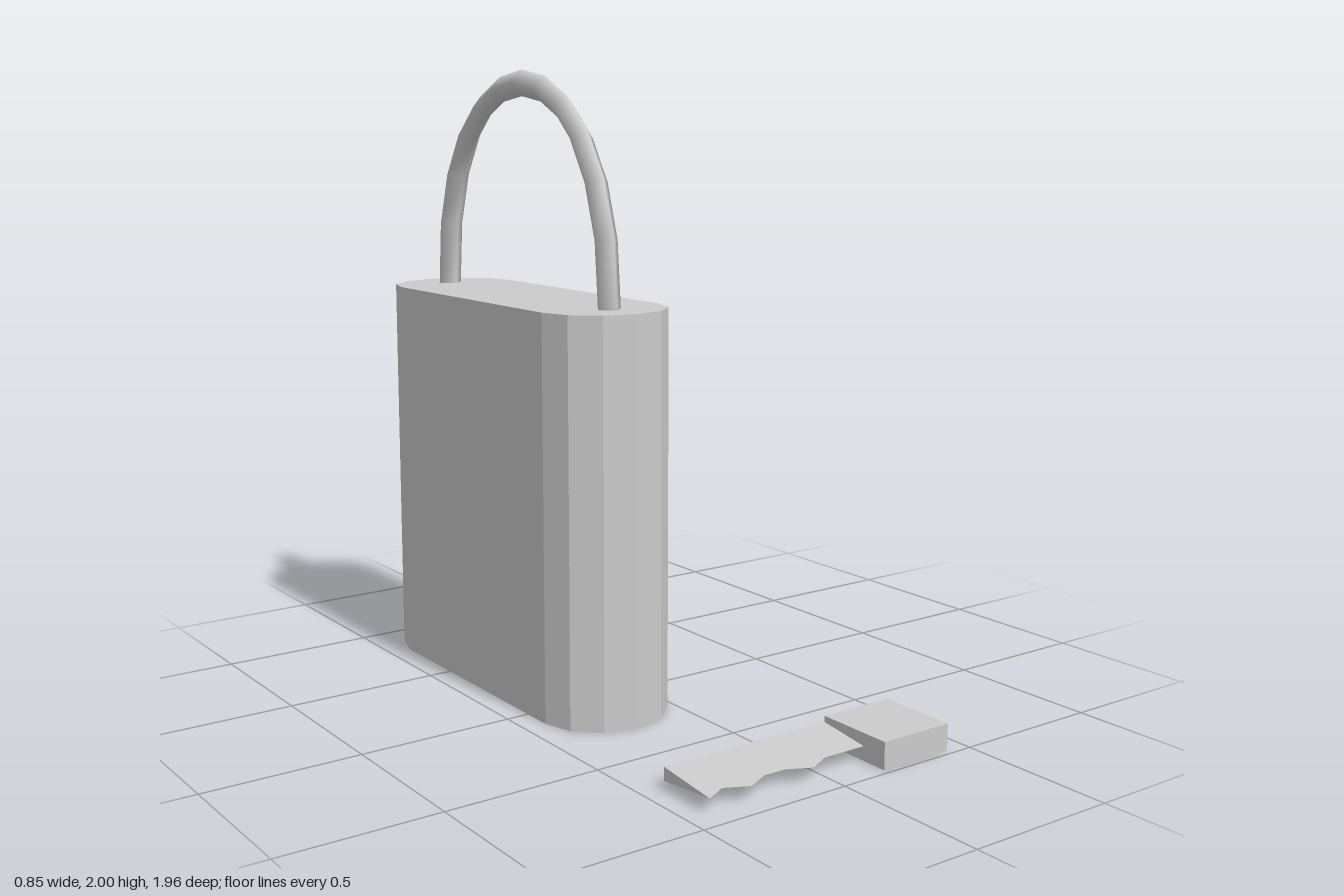
import * as THREE from 'three';

const material = new THREE.MeshStandardMaterial({ color: 0xcccccc, flatShading: true });
const smoothMaterial = new THREE.MeshStandardMaterial({ color: 0xcccccc, side: THREE.DoubleSide });

const BODY_X = -0.213, BODY_Z = -0.341, BODY_TOP = 1.28;

function addMesh(parent, name, geometry, mat = material) {
  const mesh = new THREE.Mesh(geometry, mat);
  mesh.name = name;
  parent.add(mesh);
  return mesh;
}

// Stadium-shaped block with six facets around each end
function bodyGeometry() {
  const rx = 0.213, rz = 0.195, straight = 0.444, points = [];
  for (const end of [0, 1]) {
    for (let i = 0; i <= 6; i++) {
      const a = Math.PI * (end + i / 6);
      points.push(new THREE.Vector2(rx * Math.cos(a), rz * Math.sin(a) + (end ? -straight : straight)));
    }
  }
  const geometry = new THREE.ExtrudeGeometry(new THREE.Shape(points), { depth: BODY_TOP, bevelEnabled: false });
  return geometry.rotateX(-Math.PI / 2);
}

// Four-sided tube along an arch, stepped evenly by curve parameter
function shackleGeometry() {
  const half = 0.49, handle = 0.905;
  const point = (y, z) => new THREE.Vector3(0, y, z);
  const arch = new THREE.CubicBezierCurve3(
    point(0, half), point(handle, half * 1.03), point(handle, -half * 1.03), point(0, -half));
  arch.getPointAt = arch.getPoint;
  arch.getTangentAt = arch.getTangent;
  return new THREE.TubeGeometry(arch, 12, 0.042, 4, false);
}

// Wedge-section blade: thick straight back, thin toothed edge
function bladeGeometry() {
  const back = 0.722, mid = 0.045, halfThick = 0.021;
  const outline = [[-0.426, 0.93], [-0.355, 0.893], [-0.28, 0.93], [-0.205, 0.893],
    [-0.13, 0.893], [-0.055, 0.93], [0.02, 0.893], [0.18, 0.893]];
  const sections = outline.map(([x, z]) => [
    [x, mid + halfThick, back], [x, mid, z], [x, mid - halfThick, back]]);
  const positions = [];
  const triangle = (a, b, c) => positions.push(...a, ...b, ...c);
  for (let i = 0; i < sections.length - 1; i++) {
    const s = sections[i], t = sections[i + 1];
    for (let k = 0; k < 3; k++) {
      const n = (k + 1) % 3;
      triangle(s[k], s[n], t[n]);
      triangle(s[k], t[n], t[k]);
    }
  }
  const [first, last] = [sections[0], sections[sections.length - 1]];
  triangle(first[0], first[2], first[1]);
  triangle(last[0], last[1], last[2]);
  const geometry = new THREE.BufferGeometry();
  geometry.setAttribute('position', new THREE.Float32BufferAttribute(positions, 3));
  geometry.computeVertexNormals();
  return geometry;
}

export function createModel() {
  const model = new THREE.Group();
  model.name = 'padlockAndKey';

  // Padlock
  const padlock = new THREE.Group();
  padlock.name = 'padlock';
  padlock.position.set(BODY_X, 0, BODY_Z);
  addMesh(padlock, 'lockBody', bodyGeometry());
  addMesh(padlock, 'shackle', shackleGeometry(), smoothMaterial).position.y = BODY_TOP;

  // Key lying in front
  const key = new THREE.Group();
  key.name = 'key';
  addMesh(key, 'keyBlade', bladeGeometry());
  addMesh(key, 'keyHandle', new THREE.BoxGeometry(0.255, 0.085, 0.258)).position.set(0.298, 0.0425, 0.851);

  model.add(padlock, key);
  return model;
}
